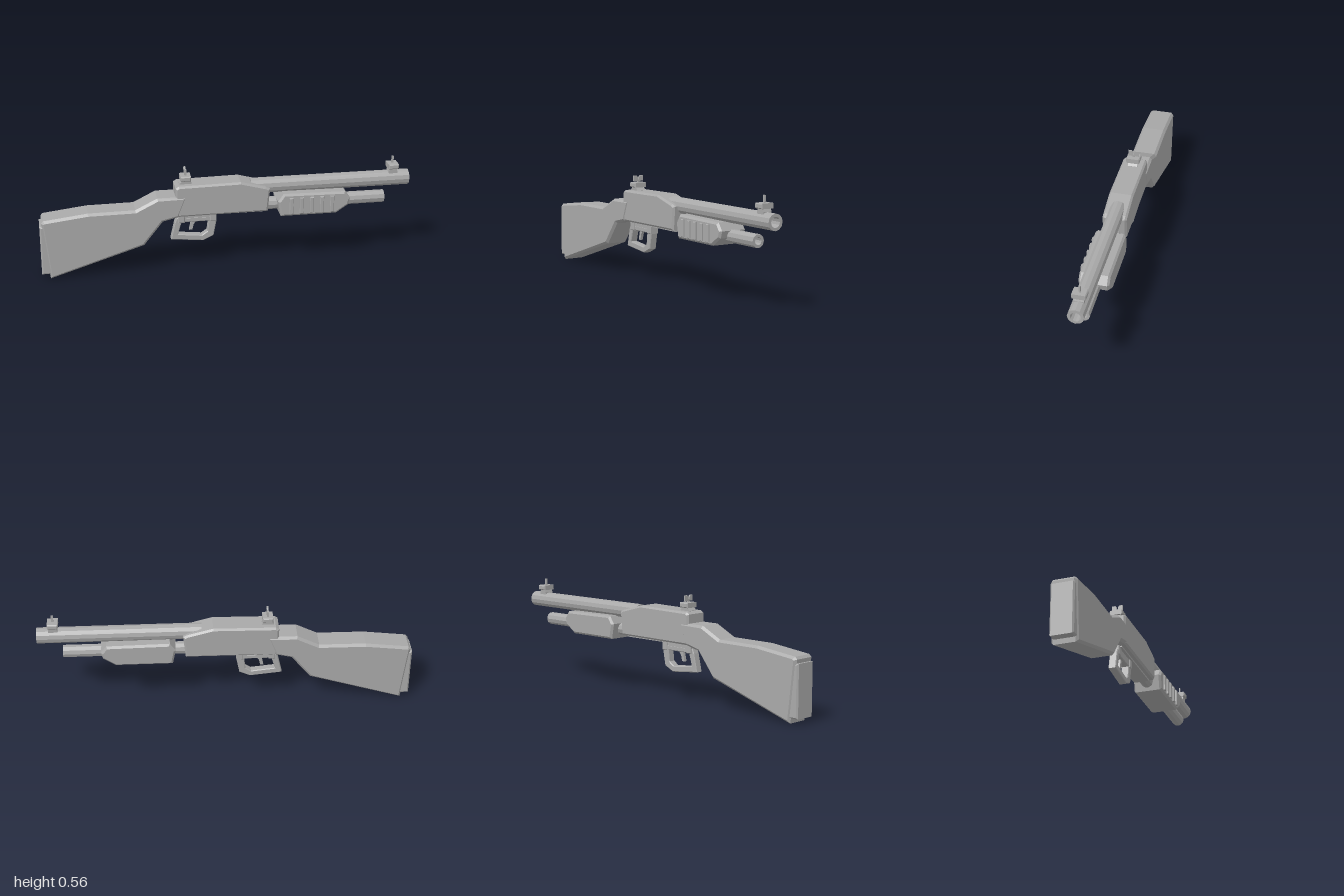
import * as THREE from 'three';

const grey = new THREE.MeshStandardMaterial({ color: 0xa8a8a8, flatShading: true });
grey.name = 'plain grey';

export function createModel() {
  const model = new THREE.Group();
  model.name = 'longGun';
  const body = new THREE.Group();
  body.name = 'body';
  body.position.z = -0.0035;
  model.add(body);

  const add = (name, geometry, x = 0, y = 0, z = 0) => {
    const mesh = new THREE.Mesh(geometry, grey);
    mesh.name = name;
    mesh.position.set(x, y, z);
    body.add(mesh);
    return mesh;
  };
  const vectors = (points) => points.map(([x, y]) => new THREE.Vector2(x, y));

  // Side outline extruded across z, with chamfered edges inside the outline
  const slab = (name, points, half, bevel, hole) => {
    const shape = new THREE.Shape(vectors(points));
    if (hole) shape.holes.push(new THREE.Path(vectors(hole)));
    const geometry = new THREE.ExtrudeGeometry(shape, {
      depth: 2 * (half - bevel), bevelEnabled: bevel > 0, bevelSegments: 1,
      bevelSize: bevel, bevelThickness: bevel, bevelOffset: -bevel,
    });
    geometry.translate(0, 0, -(half - bevel));
    return add(name, geometry);
  };
  const rect = (x0, x1, y0, y1) => [[x0, y0], [x1, y0], [x1, y1], [x0, y1]];

  // Hollow tube along x with a closed bore
  const pipe = (name, x0, x1, y, outer, inner, sides) => {
    const profile = vectors([[0, x0], [outer, x0], [outer, x1], [inner, x1], [inner, x1 - 0.12], [0, x1 - 0.12]]);
    const geometry = new THREE.LatheGeometry(profile, sides);
    geometry.rotateZ(-Math.PI / 2);
    add(name, geometry, 0, y, 0);
  };

  // Stock and butt pad
  slab('stock', [
    [-0.955, 0.004], [-0.452, 0.163], [-0.35, 0.292], [-0.262, 0.313], [-0.22, 0.427],
    [-0.377, 0.427], [-0.495, 0.368], [-0.745, 0.366], [-0.978, 0.338], [-0.99, 0.325],
  ], 0.069, 0.013);
  slab('buttPad', [[-1, 0.03], [-0.94, 0.03], [-0.95, 0.305], [-1, 0.305]], 0.062, 0.008);

  // Receiver with sloped nose
  slab('receiver', [
    [-0.27, 0.313], [0.217, 0.316], [0.229, 0.443], [0.205, 0.455], [0.07, 0.491], [-0.262, 0.486],
    [-0.279, 0.475], [-0.279, 0.42],
  ], 0.0645, 0.01);
  slab('loadingPlate', rect(-0.25, 0.2, 0.306, 0.33), 0.035, 0);

  // Barrel and magazine tube
  pipe('barrel', 0.13, 1, 0.445, 0.0425, 0.027, 12);
  pipe('magazineTube', 0.155, 0.868, 0.339, 0.0345, 0.02, 10);

  // Sliding fore-end with grip ribs on one side
  slab('foreEnd', [
    [0.286, 0.286], [0.59, 0.286], [0.655, 0.33], [0.666, 0.367], [0.636, 0.408],
    [0.3, 0.413], [0.27, 0.37],
  ], 0.0795, 0.011);
  for (let i = 0; i < 5; i++) {
    const x = 0.341 + i * 0.0555;
    const rib = slab('gripRib', rect(x - 0.011, x + 0.011, 0.301, 0.392), 0.01, 0.003);
    rib.position.z = 0.0795;
  }

  // Trigger guard, its mounts and the trigger
  slab('triggerGuard', [
    [-0.281, 0.265], [-0.303, 0.168], [-0.13, 0.15], [-0.072, 0.177], [-0.055, 0.265],
    [-0.058, 0.29], [-0.27, 0.29],
  ], 0.021, 0.004, [
    [-0.245, 0.264], [-0.098, 0.264], [-0.105, 0.203], [-0.135, 0.182], [-0.265, 0.196],
  ]);
  slab('guardPlate', rect(-0.25, -0.065, 0.285, 0.316), 0.02, 0);
  slab('rearGuardMount', rect(-0.264, -0.228, 0.262, 0.318), 0.026, 0.004);
  slab('frontGuardMount', rect(-0.092, -0.055, 0.262, 0.318), 0.026, 0.004);
  slab('trigger', [
    [-0.203, 0.213], [-0.186, 0.213], [-0.178, 0.245], [-0.16, 0.27], [-0.19, 0.27], [-0.196, 0.245],
  ], 0.008, 0);

  // Sight bases, shared by front and rear
  const sightBase = (name, x, foot) => {
    slab(name + 'Foot', [
      [x - foot, 0.475], [x + foot, 0.475], [x + foot, 0.488], [x + 0.016, 0.506], [x - 0.016, 0.506], [x - foot, 0.488],
    ], 0.026, 0);
    slab(name + 'Block', rect(x - 0.028, x + 0.028, 0.503, 0.53), 0.037, 0.005);
  };
  sightBase('frontSight', 0.912, 0.024);
  add('frontSightPost', new THREE.BoxGeometry(0.012, 0.045, 0.007), 0.912, 0.545, 0);
  sightBase('rearSight', -0.221, 0.033);
  add('rearSightStem', new THREE.BoxGeometry(0.01, 0.02, 0.01), -0.221, 0.536, 0);

  // Notched rear sight blades
  for (const side of [-1, 1]) {
    const outline = [[0.004, 0.537], [0.029, 0.537], [0.029, 0.567], [0.011, 0.567], [0.004, 0.558]];
    const shape = new THREE.Shape(vectors(outline.map(([z, y]) => [z * side, y])));
    const geometry = new THREE.ExtrudeGeometry(shape, { depth: 0.01, bevelEnabled: false });
    geometry.rotateY(Math.PI / 2);
    add(side > 0 ? 'rightSightBlade' : 'leftSightBlade', geometry, -0.226, 0, 0);
  }
  return model;
}
